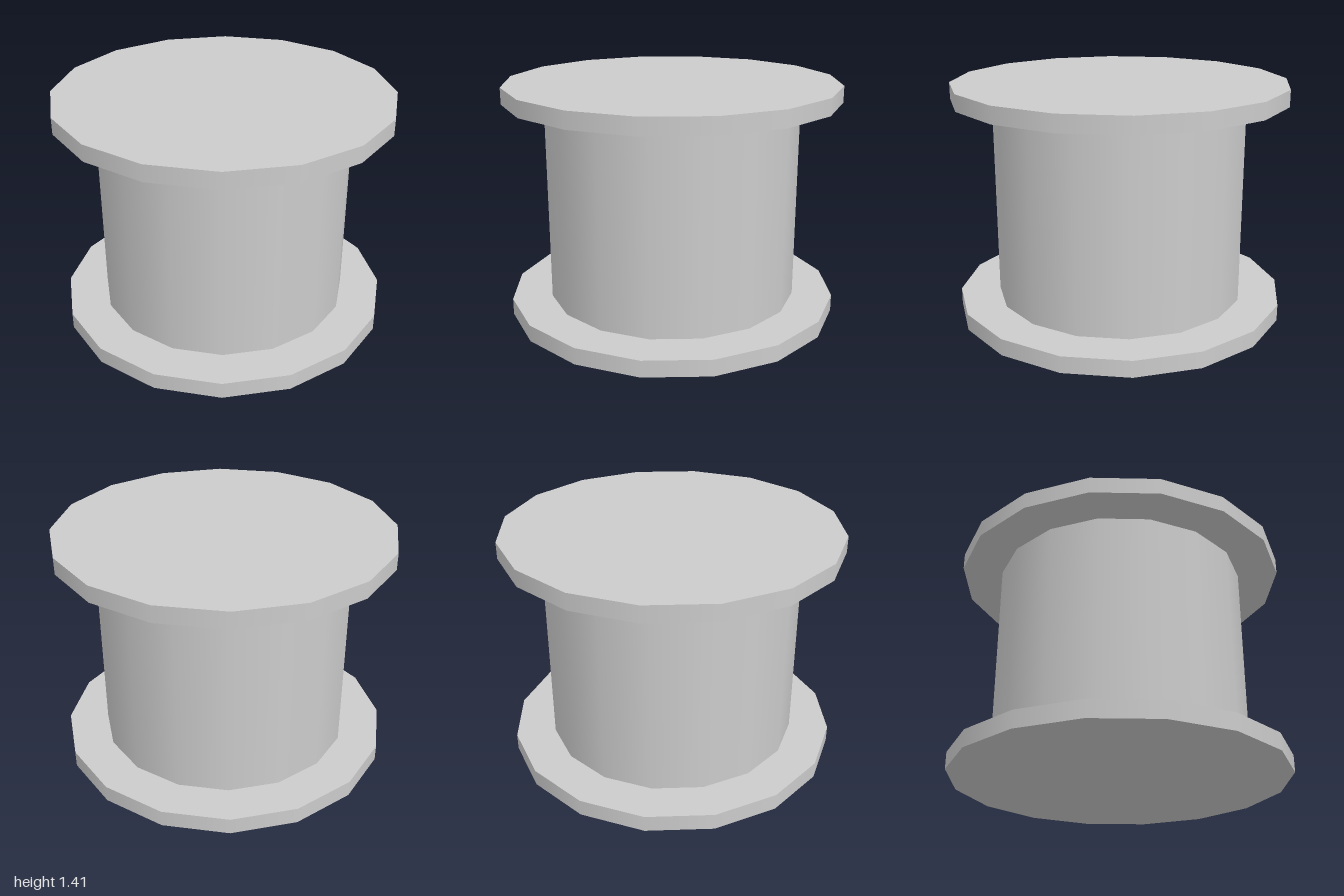
import * as THREE from 'three';

const SIDES = 16;

export function createModel() {
  const group = new THREE.Group();
  const material = new THREE.MeshStandardMaterial({ color: 0xcccccc });

  // A closed, smooth-sided disc or drum standing on the given height
  const addCylinder = (name, radius, bottom, top) => {
    const mesh = new THREE.Mesh(
      new THREE.CylinderGeometry(radius, radius, top - bottom, SIDES), material);
    mesh.name = name;
    mesh.position.y = (bottom + top) / 2;
    group.add(mesh);
  };

  addCylinder('bottomFlange', 1, 0, 0.1);
  addCylinder('drum', 0.758, 0.1, 1.31);
  addCylinder('topFlange', 1, 1.31, 1.408);

  return group;
}
